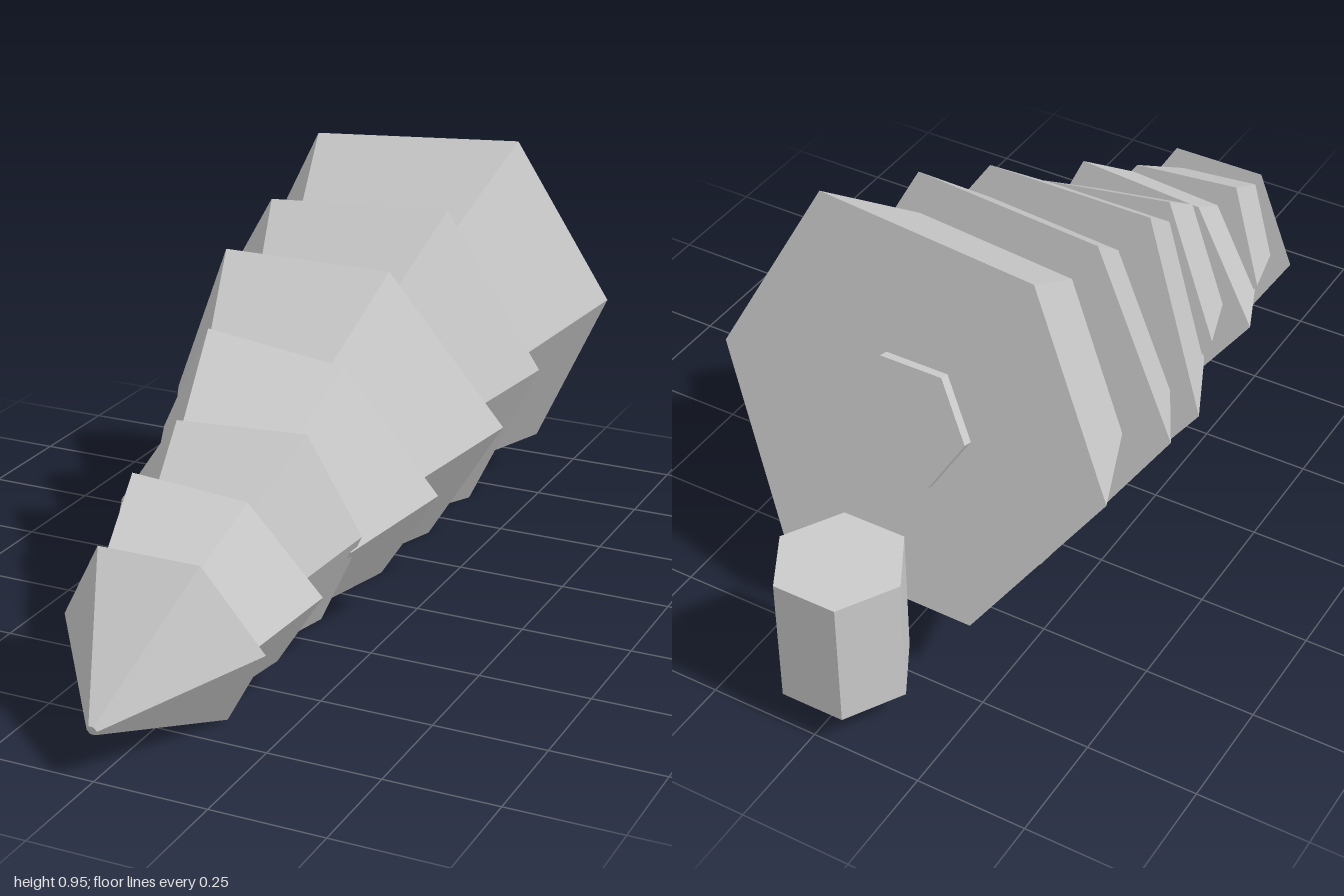
import * as THREE from 'three';

const material = new THREE.MeshStandardMaterial({ color: 0xcccccc, flatShading: true, side: THREE.DoubleSide });

// Tiers from tip to foot: distance of the wide end from the tip, and its six
// corners (x, up), counter-clockwise from the model's left.
const TIERS = [
  { s: 0.301, ring: [0.23, 0, 0.115, 0.2, -0.115, 0.2, -0.23, 0, -0.115, -0.198, 0.115, -0.198] },
  { s: 0.505, ring: [0.26, -0.005, 0.12, 0.208, -0.14, 0.23, -0.235, 0.01, -0.12, -0.223, 0.13, -0.205] },
  { s: 0.695, ring: [0.265, 0.01, 0.17, 0.253, -0.135, 0.232, -0.31, -0.01, -0.14, -0.245, 0.14, -0.24] },
  { s: 0.918, ring: [0.34, -0.03, 0.155, 0.27, -0.16, 0.315, -0.315, 0.03, -0.15, -0.315, 0.18, -0.275] },
  { s: 1.152, ring: [0.4, 0, 0.168, 0.365, -0.225, 0.365, -0.41, -0.035, -0.19, -0.335, 0.19, -0.335] },
  { s: 1.375, ring: [0.4, 0.005, 0.215, 0.395, -0.22, 0.365, -0.45, 0, -0.2, -0.385, 0.195, -0.395] },
  { s: 1.666, ring: [0.46, 0.02, 0.27, 0.415, -0.235, 0.375, -0.46, -0.025, -0.2, -0.405, 0.255, -0.4] },
];

// Closed six-sided frustum: wide ring at zWide, scaled copy at zNarrow.
function frustum(ring, zWide, zNarrow, scale) {
  const positions = [];
  const wide = (i) => [ring[2 * i], ring[2 * i + 1], zWide];
  const narrow = (i) => [ring[2 * i] * scale, ring[2 * i + 1] * scale, zNarrow];
  for (let i = 0; i < 6; i++) {
    const j = (i + 1) % 6;
    positions.push(
      ...wide(i), ...wide(j), ...narrow(j),
      ...wide(i), ...narrow(j), ...narrow(i),
      0, 0, zNarrow, ...narrow(i), ...narrow(j),
      0, 0, zWide, ...wide(j), ...wide(i),
    );
  }
  const geometry = new THREE.BufferGeometry();
  geometry.setAttribute('position', new THREE.Float32BufferAttribute(positions, 3));
  geometry.computeVertexNormals();
  return geometry;
}

// Six-sided log with corners pointing to the sides.
function hexLog(length) {
  return new THREE.CylinderGeometry(0.145, 0.145, length, 6).rotateY(Math.PI / 6);
}

function add(parent, name, geometry) {
  const mesh = new THREE.Mesh(geometry, material);
  mesh.name = name;
  parent.add(mesh);
  return mesh;
}

export function createModel() {
  const model = new THREE.Group();
  model.name = 'felledTree';

  // Fallen crown, its axis rising from the tip towards the foot
  const crown = new THREE.Group();
  crown.name = 'fallenCrown';
  crown.position.set(0, 0.11, 1);
  crown.rotation.x = 0.27;
  model.add(crown);

  TIERS.forEach(({ s, ring }, i) => {
    // Each tier tucks slightly into the one in front; the first ends in the tip
    const narrowS = i === 0 ? 0 : TIERS[i - 1].s - 0.02;
    add(crown, `foliageTier${i + 1}`, frustum(ring, -s, -narrowS, i === 0 ? 0.05 : 0.72));
  });

  // Cut trunk end showing at the foot of the crown
  const trunk = add(crown, 'trunkEnd', hexLog(0.1).rotateX(Math.PI / 2));
  trunk.position.z = -1.64;

  // Stump left standing behind the crown
  const stump = add(model, 'stump', hexLog(0.3));
  stump.position.set(0, 0.23, -0.875);

  return model;
}
